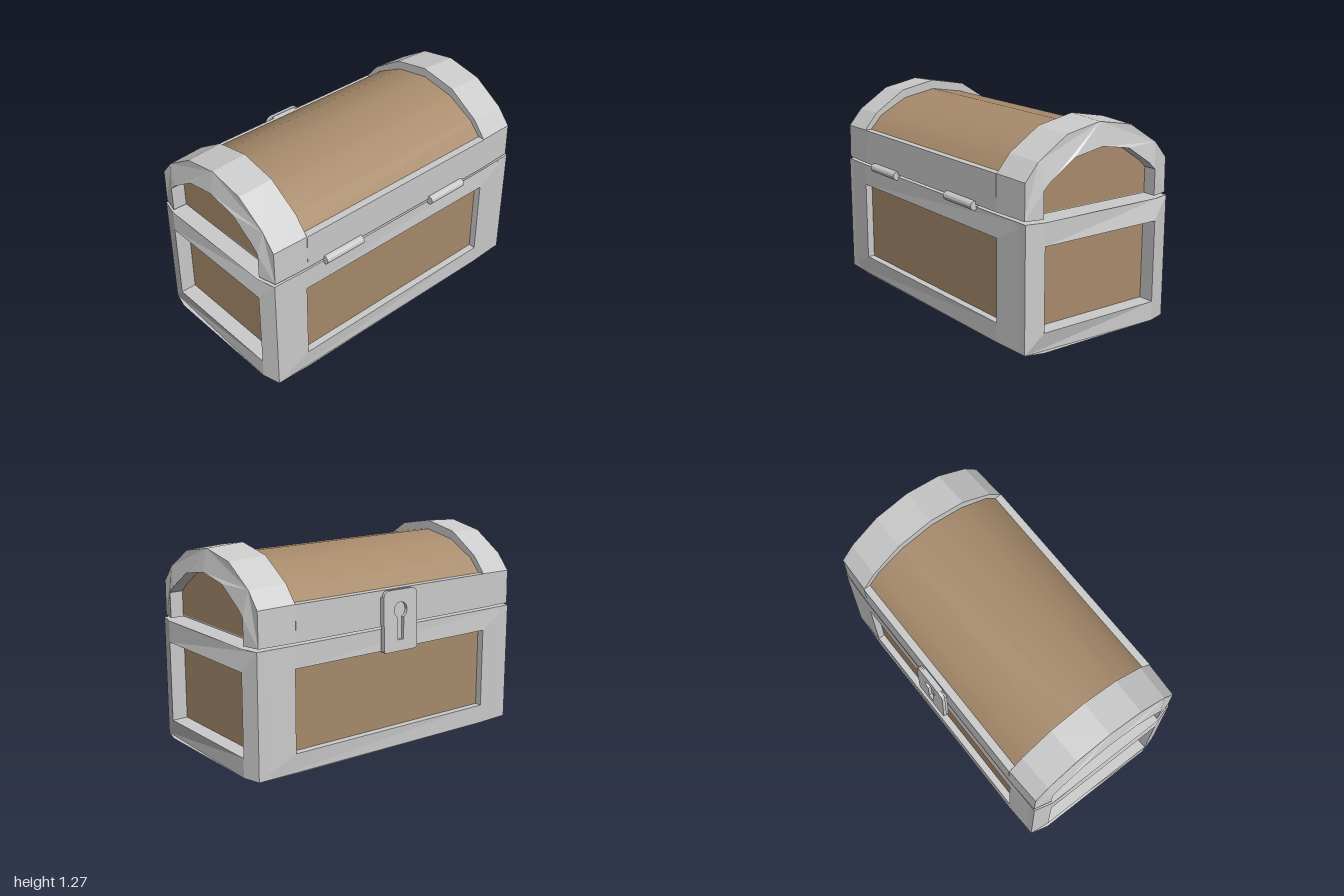
import * as THREE from 'three';
import { toCreasedNormals } from 'three/addons/utils/BufferGeometryUtils.js';

const metal = new THREE.MeshStandardMaterial({ color: 0xcccccc, flatShading: true });
const wood = new THREE.MeshStandardMaterial({ color: 0xa88b6c });

function add(parent, name, geometry, material = metal) {
  const mesh = new THREE.Mesh(geometry, material);
  mesh.name = name;
  parent.add(mesh);
  return mesh;
}

function block(x0, x1, y0, y1, z0, z1) {
  return new THREE.BoxGeometry(x1 - x0, y1 - y0, z1 - z0)
    .translate((x0 + x1) / 2, (y0 + y1) / 2, (z0 + z1) / 2);
}

const shapeOf = (points) => new THREE.Shape(points.map(([x, y]) => new THREE.Vector2(x, y)));

const extrude = (shape, depth, curveSegments = 8) =>
  new THREE.ExtrudeGeometry(shape, { depth, bevelEnabled: false, curveSegments });

// Moves each vertex by a rule, then refreshes the flat normals
function reshape(geometry, rule) {
  const p = geometry.attributes.position;
  const v = new THREE.Vector3();
  for (let i = 0; i < p.count; i++) {
    rule(v.fromBufferAttribute(p, i));
    p.setXYZ(i, v.x, v.y, v.z);
  }
  geometry.computeVertexNormals();
  return geometry;
}

// Rectangular frame around a recessed panel; its outer corners are set back
function panelFrame(half, h0, h1, depth, setBack) {
  const [y0, y1, e] = [0.12, 0.625, 0.001];
  const shape = shapeOf([
    [-half, e], [h0, 0], [h1, 0], [half, e],
    [half, 0.76], [h1, 0.76 + e], [h0, 0.76 + e], [-half, 0.76],
  ]);
  shape.holes.push(shapeOf([[h0, y0], [h0, y1], [h1, y1], [h1, y0]]));
  return reshape(extrude(shape, depth), (v) => {
    if (v.z > 0 && Math.abs(v.x) > half - 0.01) v.z -= setBack;
  });
}

// Full symmetric outline from the points of its right half (last one is the crown)
const mirrored = (half) => [...half, ...half.slice(0, -1).reverse().map(([x, y]) => [-x, y])];

function buildBody() {
  const body = new THREE.Group();
  body.name = 'body';
  add(body, 'woodCore', block(-0.9, 0.9, 0.02, 0.74, -0.49, 0.49), wood);
  add(body, 'bottomPlate', block(-0.9, 0.9, 0, 0.02, -0.49, 0.49));
  add(body, 'topPlate', block(-0.9, 0.9, 0.74, 0.76, -0.49, 0.49));

  add(body, 'frontFrame', panelFrame(0.97, -0.745, 0.72, 0.045, 0.01).translate(0, 0, 0.49));
  add(body, 'backFrame', panelFrame(0.97, -0.72, 0.745, 0.045, 0.01)
    .translate(0, 0, 0.49).rotateY(Math.PI));
  for (const side of [1, -1]) {
    add(body, side > 0 ? 'leftEndFrame' : 'rightEndFrame',
      panelFrame(0.527, -0.413, 0.413, 0.12, 0.03)
        .translate(0, 0, 0.88).rotateY(side * Math.PI / 2));
  }
  return body;
}

function buildLid() {
  const lid = new THREE.Group();
  lid.name = 'lid';
  const base = 0.775;
  const outer = mirrored([[0.535, base], [0.532, 0.995], [0.443, 1.1], [0.24, 1.23], [0, 1.275]]);
  const inner = mirrored([[0.413, base], [0.413, 0.935], [0.365, 0.98], [0.2, 1.09], [0, 1.125]]);

  // Arched bands at both ends, tapering towards their outer rim
  for (const side of [1, -1]) {
    const x0 = side > 0 ? 0.715 : 0.735;
    const x1 = side > 0 ? 0.985 : 0.99;
    const arch = shapeOf([...outer, ...inner.slice().reverse()]);
    const onInner = (v) => inner.some(([x, y]) => Math.hypot(x - v.x, y - v.y) < 1e-4);
    const geometry = reshape(extrude(arch, x1 - x0), (v) => {
      if (v.z > 0.01 && !onInner(v)) {
        v.x *= 0.98;
        v.y = base + (v.y - base) * 0.975;
        v.z -= 0.027;
      }
    });
    add(lid, side > 0 ? 'leftArchBand' : 'rightArchBand',
      geometry.translate(0, 0, x0).rotateY(side * Math.PI / 2));
  }

  // Rounded wooden barrel, also closing the arched ends
  const profile = mirrored([
    [0.49, base + 0.005], [0.488, 0.995], [0.41, 1.08], [0.225, 1.178], [0, 1.217],
  ]);
  const barrel = extrude(shapeOf(profile), 1.8).translate(0, 0, -0.9).rotateY(Math.PI / 2);
  add(lid, 'woodBarrel', toCreasedNormals(barrel, 0.7), wood);

  for (const side of [1, -1]) {
    const z = [side * 0.487, side * 0.535].sort((a, b) => a - b);
    add(lid, side > 0 ? 'frontRail' : 'backRail', block(-0.735, 0.715, base, 0.995, ...z));
  }
  add(lid, 'lidUnderside', block(-0.9, 0.9, base, base + 0.01, -0.487, 0.487));
  return lid;
}

function buildLock() {
  const lock = new THREE.Group();
  lock.name = 'lock';
  const [w, h, r] = [0.128, 0.375, 0.04];

  // Plate with rounded top corners and a keyhole cut
  const plate = new THREE.Shape();
  plate.moveTo(-w, 0.012);
  plate.lineTo(-w + 0.012, 0);
  plate.lineTo(w - 0.012, 0);
  plate.lineTo(w, 0.012);
  plate.lineTo(w, h - r);
  plate.absarc(w - r, h - r, r, 0, Math.PI / 2);
  plate.absarc(-w + r, h - r, r, Math.PI / 2, Math.PI);
  plate.closePath();
  const keyhole = new THREE.Path();
  keyhole.moveTo(-0.022, 0.07);
  keyhole.lineTo(0.022, 0.07);
  keyhole.absarc(0, 0.25, 0.05, -1.1, Math.PI + 1.1);
  keyhole.closePath();
  plate.holes.push(keyhole);

  add(lock, 'lockPlate', extrude(plate, 0.02, 5).translate(0, 0, 0.016));
  add(lock, 'lockBacking', block(-w + 0.003, w - 0.003, 0.003, h - r, 0, 0.016));
  add(lock, 'lockBackingTop', block(-w + r, w - r, h - r, h - 0.003, 0, 0.016));
  lock.rotation.set(-0.025, Math.PI, 0, 'YXZ');
  lock.position.set(-0.013, 0.62, -0.543);
  return lock;
}

export function createModel() {
  const chest = new THREE.Group();
  chest.name = 'chest';
  const shell = new THREE.Group();
  shell.name = 'shell';
  shell.position.z = 0.005;
  shell.add(buildBody(), buildLid());
  chest.add(shell, buildLock());

  // Hinge barrels across the seam
  for (const [name, x] of [['rightHinge', -0.473], ['leftHinge', 0.375]]) {
    const hinge = new THREE.CylinderGeometry(0.028, 0.028, 0.283, 12).rotateZ(Math.PI / 2);
    add(chest, name, hinge).position.set(x, 0.768, 0.546);
  }
  return chest;
}
